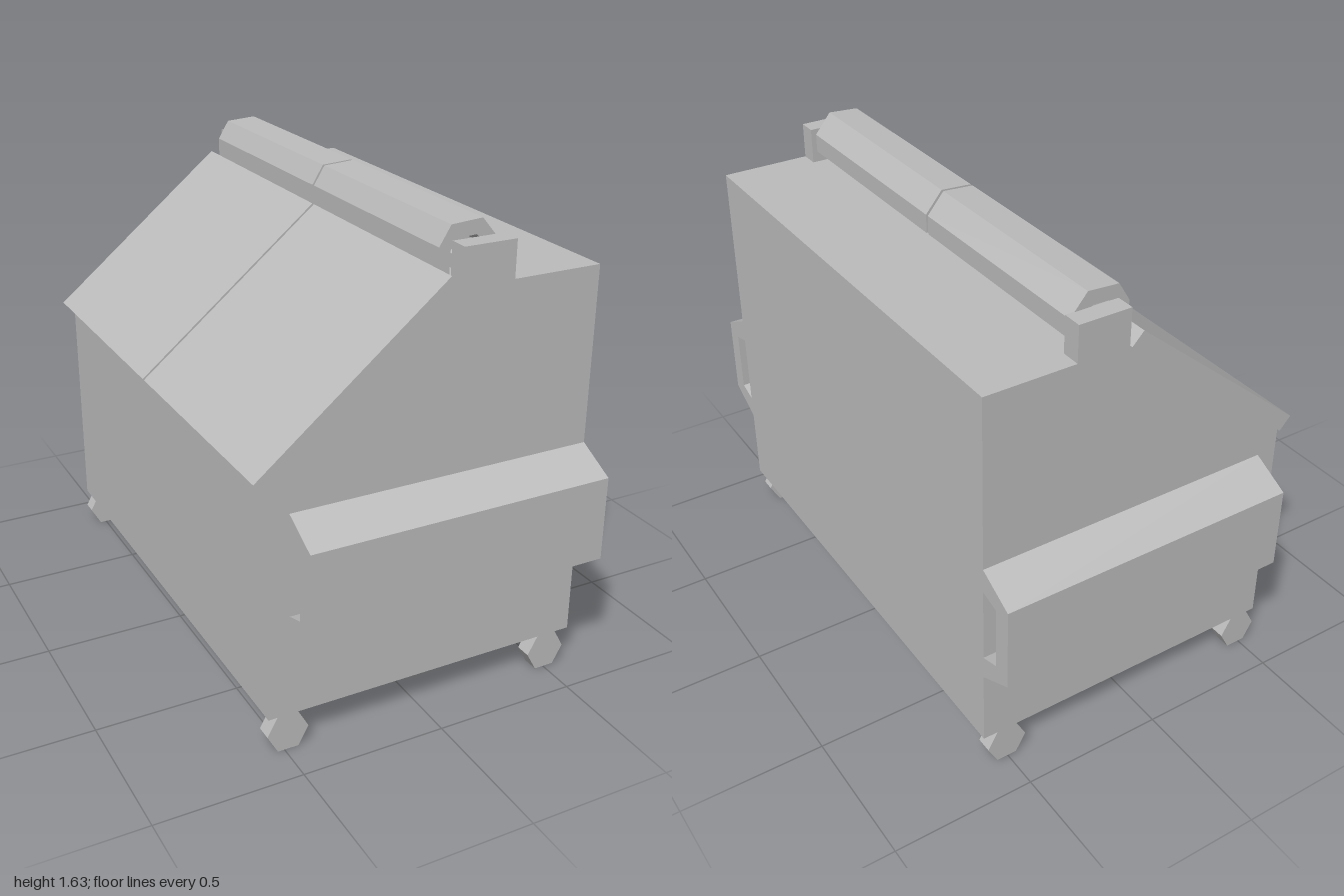
import * as THREE from 'three';

const steel = new THREE.MeshStandardMaterial({ color: 0xbcbcbc });
steel.name = 'steelGrey';

// Extrude an x/y outline between two z positions
function slab(points, z0, z1) {
  const shape = new THREE.Shape(points.map(([x, y]) => new THREE.Vector2(x, y)));
  const geo = new THREE.ExtrudeGeometry(shape, { depth: z1 - z0, bevelEnabled: false });
  return geo.translate(0, 0, z0);
}

export function createModel() {
  const group = new THREE.Group();
  group.name = 'dumpster';
  const add = (name, geo) => {
    const mesh = new THREE.Mesh(geo, steel);
    mesh.name = name;
    group.add(mesh);
  };

  // Container with sloped front
  const half = 0.865;
  add('container', slab([[-0.555, 0.13], [0.592, 0.13], [0.592, 1.447], [0.09, 1.447], [-0.555, 0.915]], -half, half));

  // Two sloped lids, each with a curled hinge cover
  const lid = [[-0.555, 0.915], [0.09, 1.447], [0.05, 1.49], [-0.595, 0.96]];
  const curl = [
    [0.09, 1.447], [0.05, 1.49], [0.05, 1.555], [0.09, 1.62], [0.2, 1.627], [0.26, 1.555], [0.26, 1.49],
    [0.22, 1.49], [0.22, 1.54], [0.18, 1.578], [0.12, 1.575], [0.09, 1.54],
  ];
  for (const [side, a, b, c, d] of [['left', -0.876, -0.013, -0.8, -0.013], ['right', -0.002, 0.865, -0.002, 0.79]]) {
    add(side + 'Lid', slab(lid, a, b));
    add(side + 'HingeCover', slab(curl, c, d));
  }

  // Six-sided hinge rod carried by two posts
  const rod = new THREE.CylinderGeometry(0.045, 0.045, 1.6, 6).toNonIndexed();
  rod.rotateX(Math.PI / 2).translate(0.16, 1.494, 0);
  rod.computeVertexNormals();
  add('hingeRod', rod);

  for (const s of [-1, 1]) {
    add('hingePost', new THREE.BoxGeometry(0.185, 0.126, 0.067).translate(0.1825, 1.51, s * 0.8315));

    // Lifting sleeve: open channel along the side wall
    const sleeve = slab([
      [0.865, 0.84], [1, 0.77], [1, 0.475], [0.865, 0.405],
      [0.865, 0.487], [0.935, 0.51], [0.935, 0.735], [0.865, 0.753],
    ].map(([z, y]) => [-s * z, y]), -0.48, 0.592);
    add('liftingSleeve', sleeve.rotateY(Math.PI / 2));

    // Six-sided wheels
    for (const x of [-0.487, 0.503]) {
      const wheel = new THREE.CylinderGeometry(0.072, 0.072, 0.055, 6).toNonIndexed();
      wheel.rotateX(Math.PI / 2).rotateZ(Math.PI / 6).scale(1, 1.045, 1).translate(x, 0.065, s * 0.8375);
      wheel.computeVertexNormals();
      add('wheel', wheel);
    }
  }
  return group;
}
